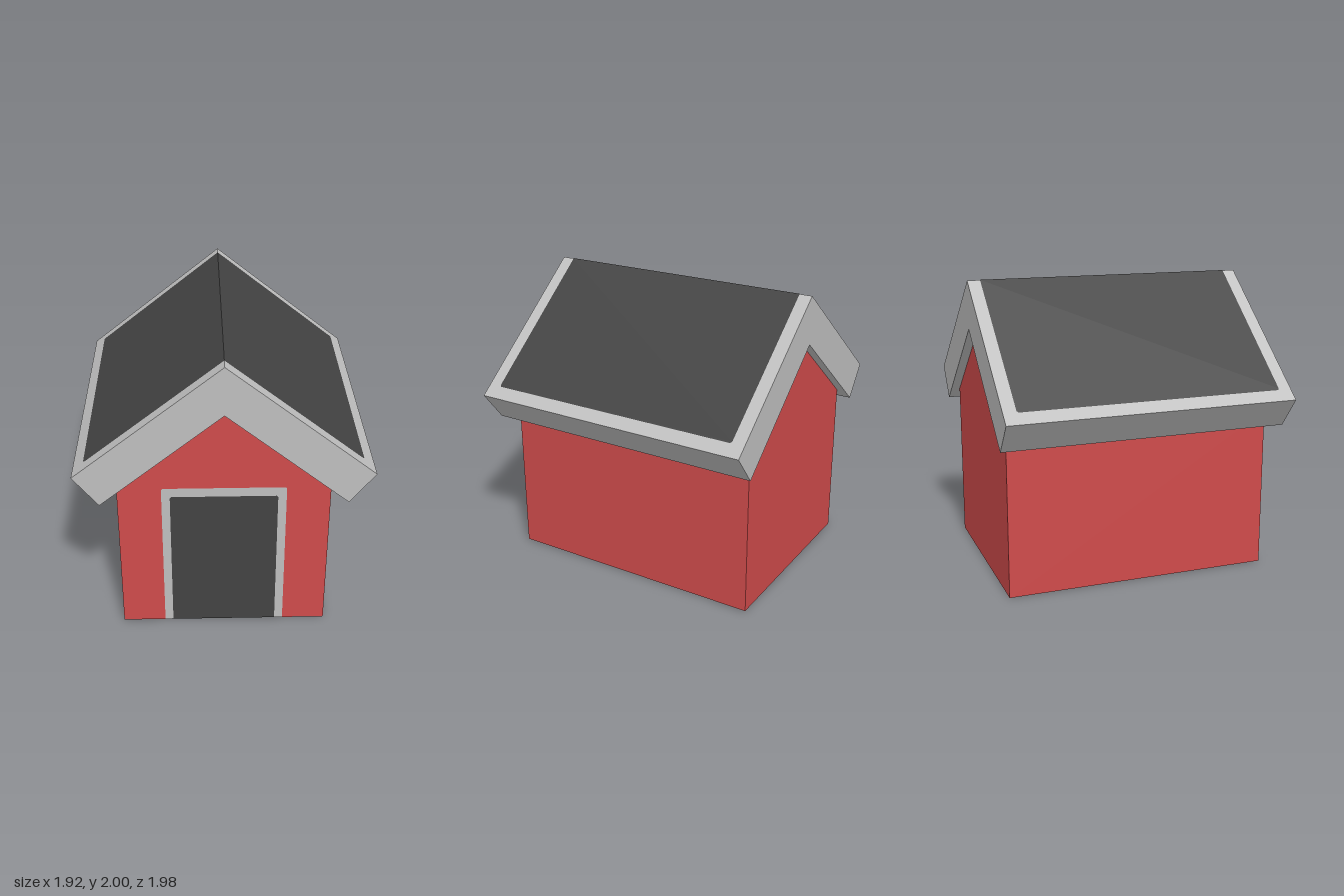
import * as THREE from 'three';

const WALL_X = 0.69, EAVE_Y = 1.11, GABLE_Y = 1.67;
const FRONT_Z = 0.905, BACK_Z = -0.925;
const ROOF_Z = 0.9875, RIDGE_Y = 1.998, ROOF_X = 0.96, ROOF_EDGE_Y = 1.235;
const SLOPE = (RIDGE_Y - ROOF_EDGE_Y) / ROOF_X;

const outline = (points) => points.map(([x, y]) => new THREE.Vector2(x, y));
const shapeOf = (points) => new THREE.Shape(outline(points));

// Doorway outline with tiny clipped upper corners
const doorway = (w, h, c = 0.01) => [[-w, 0], [w, 0], [w, h - c], [w - c, h], [c - w, h], [-w, h - c]];

export function createModel() {
  const group = new THREE.Group();
  const mat = (name, color, side = THREE.FrontSide) => {
    const m = new THREE.MeshStandardMaterial({ color, side });
    m.name = name;
    return m;
  };
  const red = mat('barn red', 0xcf4b4b, THREE.DoubleSide);
  const grey = mat('light grey', 0xbfbfbf, THREE.DoubleSide);
  const dark = mat('charcoal', 0x434343, THREE.DoubleSide);

  const add = (name, geometry, material, x = 0, y = 0, z = 0) => {
    const mesh = new THREE.Mesh(geometry, material);
    mesh.name = name;
    mesh.position.set(x, y, z);
    group.add(mesh);
    return mesh;
  };

  // Gable walls: the house is a thin shell with an open bottom
  const gable = [[-WALL_X, 0], [WALL_X, 0], [WALL_X, EAVE_Y], [0, GABLE_Y], [-WALL_X, EAVE_Y]];
  const back = add('backWall', new THREE.ShapeGeometry(shapeOf(gable)), red, 0, 0, BACK_Z);
  back.rotation.y = Math.PI;

  // Front wall runs around the doorway
  const outer = doorway(0.405, 1.09), inner = doorway(0.35, 1.025);
  const around = (ring, hole) => {
    const [first, second, ...top] = hole;
    return shapeOf([ring[0], first, ...top.reverse(), second, ...ring.slice(1)]);
  };
  add('frontWall', new THREE.ShapeGeometry(around(gable, outer)), red, 0, 0, FRONT_Z);
  add('doorFrame', new THREE.ShapeGeometry(around(outer, inner)), grey, 0, 0, FRONT_Z);
  add('doorOpening', new THREE.ShapeGeometry(shapeOf(inner)), dark, 0, 0, FRONT_Z);

  // Side walls
  for (const s of [1, -1]) {
    const wall = add(s > 0 ? 'leftWall' : 'rightWall',
      new THREE.PlaneGeometry(FRONT_Z - BACK_Z, EAVE_Y), red,
      s * WALL_X, EAVE_Y / 2, (FRONT_Z + BACK_Z) / 2);
    wall.rotation.y = s * Math.PI / 2;
  }

  // Thick chevron roof
  const chevron = shapeOf([
    [0, RIDGE_Y], [-ROOF_X, ROOF_EDGE_Y], [-0.795, 1.025],
    [0, GABLE_Y], [0.795, 1.025], [ROOF_X, ROOF_EDGE_Y],
  ]);
  const roof = new THREE.ExtrudeGeometry(chevron, { depth: 2 * ROOF_Z, bevelEnabled: false });
  add('roof', roof, grey, 0, 0, -ROOF_Z);

  // Dark roof panels, laid on each slope and meeting at the ridge
  const w = 0.888, d = 0.9, c = 0.01;
  for (const s of [1, -1]) {
    const panel = new THREE.ShapeGeometry(shapeOf([
      [0, -d], [s * (w - c), -d], [s * w, c - d], [s * w, d - c], [s * (w - c), d], [0, d],
    ]));
    panel.rotateX(-Math.PI / 2);
    const p = panel.attributes.position;
    for (let i = 0; i < p.count; i++) p.setY(i, RIDGE_Y + 0.002 - SLOPE * Math.abs(p.getX(i)));
    panel.computeVertexNormals();
    add(s > 0 ? 'leftRoofPanel' : 'rightRoofPanel', panel, dark);
  }

  return group;
}
